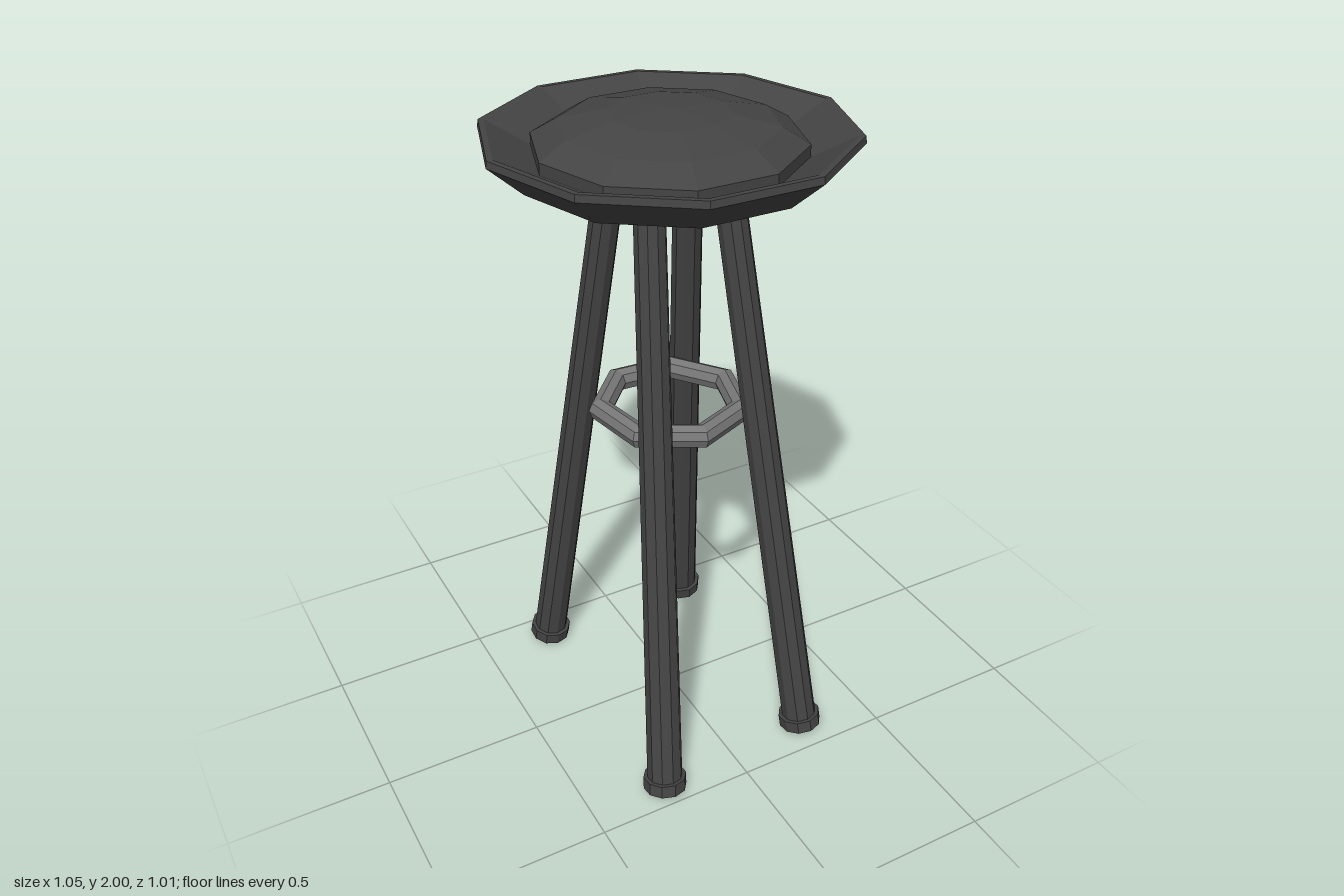
import * as THREE from 'three';

const darkMat = new THREE.MeshStandardMaterial({ color: 0x444444, flatShading: true });
const seatMat = new THREE.MeshStandardMaterial({ color: 0x444444, flatShading: true, side: THREE.DoubleSide });
const ringMat = new THREE.MeshStandardMaterial({ color: 0x777777, flatShading: true });

function part(name, geometry, material) {
  const mesh = new THREE.Mesh(geometry, material);
  mesh.name = name;
  return mesh;
}

// Splayed leg with a wider foot pad, running from the floor point to the seat point
function makeLeg(name, foot, top) {
  const leg = new THREE.Group();
  leg.name = name;
  const axis = top.clone().sub(foot);
  const length = axis.length();
  const post = part('legPost', new THREE.CylinderGeometry(0.044, 0.055, length, 10), darkMat);
  post.position.y = length / 2;
  const pad = part('footPad', new THREE.CylinderGeometry(0.067, 0.067, 0.04, 10), darkMat);
  pad.position.y = 0.02;
  leg.add(post, pad);
  leg.position.copy(foot);
  leg.quaternion.setFromUnitVectors(new THREE.Vector3(0, 1, 0), axis.normalize());
  return leg;
}

export function createModel() {
  const stool = new THREE.Group();
  stool.name = 'stool';

  // Ten-sided dish with a raised rim
  const profile = [[0.32, 1.835], [0.425, 1.835], [0.525, 1.925], [0.522, 1.945], [0.505, 1.945], [0.36, 1.87]]
    .map(([r, y]) => new THREE.Vector2(r, y));
  const dish = part('seatDish', new THREE.LatheGeometry(profile, 10, Math.PI / 2), seatMat);

  // Flattened cushion set in the dish
  const cushion = part('seatCushion', new THREE.SphereGeometry(0.39, 10, 7), darkMat);
  cushion.scale.y = 0.11 / 0.39;
  cushion.position.y = 1.89;

  const seat = new THREE.Group();
  seat.name = 'seat';
  seat.position.z = -0.01;
  seat.add(dish, cushion);
  stool.add(seat);

  // Four legs, each with a slightly different splay
  const legs = [
    ['frontLeftLeg', 0.265, 0.398, 0.113, 0.11],
    ['frontRightLeg', -0.257, 0.433, -0.128, 0.115],
    ['backLeftLeg', 0.268, -0.41, 0.115, -0.105],
    ['backRightLeg', -0.265, -0.41, -0.128, -0.105],
  ];
  for (const [name, fx, fz, tx, tz] of legs) {
    stool.add(makeLeg(name, new THREE.Vector3(fx, 0.015, fz), new THREE.Vector3(tx, 1.82, tz)));
  }

  // Seven-sided footrest ring between the legs
  const ring = part('footrestRing', new THREE.TorusGeometry(0.212, 0.036, 8, 7), ringMat);
  ring.rotation.set(Math.PI / 2, 0, THREE.MathUtils.degToRad(93));
  ring.position.y = 1.1;
  stool.add(ring);

  return stool;
}
